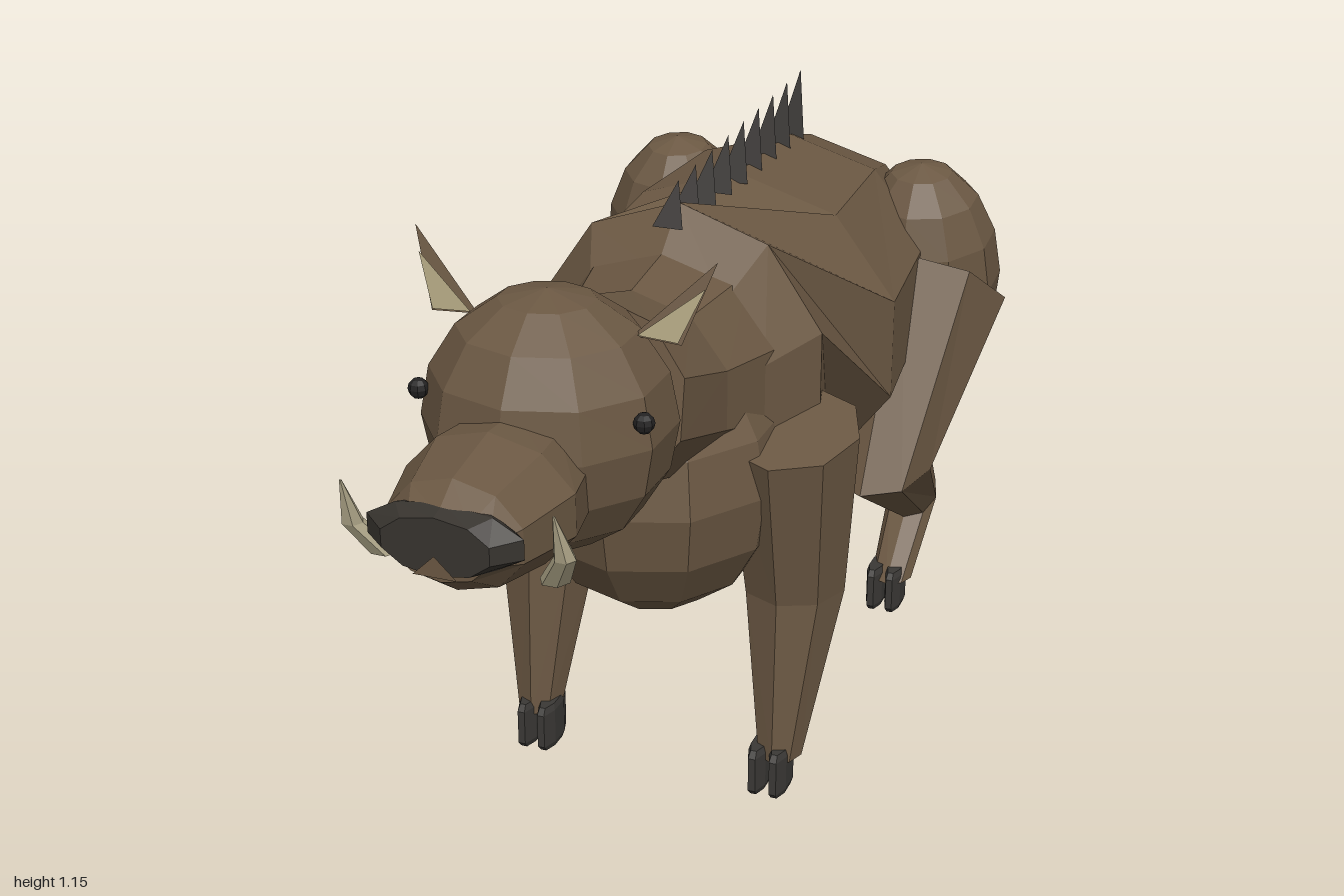
import * as THREE from 'three';

const V = (x, y, z) => new THREE.Vector3(x, y, z);

// Faceted copy of a geometry, optionally mirrored across x = 0
function facet(geo, mirrored = false) {
  const g = geo.index ? geo.toNonIndexed() : geo.clone();
  if (mirrored) {
    const p = g.attributes.position;
    for (let i = 0; i < p.count; i += 3) {
      const [a, b, c] = [0, 1, 2].map(k => V().fromBufferAttribute(p, i + k));
      [a, c, b].forEach((v, k) => p.setXYZ(i + k, -v.x, v.y, v.z));
    }
  }
  g.computeVertexNormals();
  return g;
}

// Ring of n points around c; the loft advances along -(u x v)
function ring(c, u, v, n, phase = 0) {
  return Array.from({ length: n }, (_, i) => {
    const t = phase + i / n * Math.PI * 2;
    return c.clone().addScaledVector(u, Math.sin(t)).addScaledVector(v, Math.cos(t));
  });
}

// Closed skin over a row of rings
function loft(rings) {
  const pos = [], n = rings[0].length;
  const tri = (...pts) => pts.forEach(p => pos.push(p.x, p.y, p.z));
  const mid = r => r.reduce((s, p) => s.add(p), V(0, 0, 0)).divideScalar(n);
  const first = rings[0], last = rings[rings.length - 1];
  for (let i = 0; i < n; i++) {
    const j = (i + 1) % n;
    for (let k = 0; k < rings.length - 1; k++) {
      const a = rings[k], b = rings[k + 1];
      tri(a[i], a[j], b[i]);
      tri(a[j], b[j], b[i]);
    }
    tri(mid(first), first[j], first[i]);
    tri(mid(last), last[i], last[j]);
  }
  const g = new THREE.BufferGeometry();
  g.setAttribute('position', new THREE.Float32BufferAttribute(pos, 3));
  return g;
}

// Front-to-back loft from rows of [z, y, rx, ry, phase, tilt]
const bodyLoft = (rows, n) => loft(rows.map(([z, y, rx, ry, phase = 0, tilt = 0]) =>
  ring(V(0, y, z), V(rx, 0, 0), V(0, ry, tilt), n, phase)));

// Limb loft from rows of [x, y, z, rx, uy, uz]
const limbLoft = rows => loft(rows.map(([x, y, z, rx, uy, uz]) =>
  ring(V(x, y, z), V(0, uy, uz), V(rx, 0, 0), 8)));

// Faceted ellipsoid, leaning forward at the top by lean
function ball(x, y, z, rx, ry, rz, lean = 0, w = 10, h = 8) {
  return new THREE.SphereGeometry(1, w, h).rotateY(Math.PI / w)
    .scale(rx, ry, rz).rotateX(lean).translate(x, y, z);
}

function triangles(...pts) {
  const g = new THREE.BufferGeometry();
  g.setAttribute('position', new THREE.Float32BufferAttribute(pts.flat(), 3));
  return g;
}

export function createModel() {
  const model = new THREE.Group();
  model.name = 'boar';
  const material = (name, color, side = THREE.FrontSide) => {
    const m = new THREE.MeshStandardMaterial({ color, side });
    m.name = name;
    return m;
  };
  const hide = material('brown hide', 0x6b5843);
  const horn = material('dark hoof', 0x3b3936);
  const snoutDark = material('nose grey', 0x38342f);
  const ivory = material('ivory', 0xb3aa8c);
  const earTan = material('inner ear tan', 0xaa9f7c, THREE.DoubleSide);
  const black = material('eye black', 0x232222);
  const bristle = material('bristle', 0x2b2724, THREE.DoubleSide);

  const add = (name, geo, mat) => {
    const m = new THREE.Mesh(facet(geo), mat);
    m.name = name;
    model.add(m);
  };
  const pair = (name, geo, mat) => {
    add(name + 'Left', geo, mat);
    const m = new THREE.Mesh(facet(geo, true), mat);
    m.name = name + 'Right';
    model.add(m);
  };

  // Torso with a twisted waist
  const twist = Math.PI * 0.4;
  add('torso', bodyLoft([
    [0.14, 0.76, 0.21, 0.21],
    [0.03, 0.76, 0.28, 0.30],
    [-0.28, 0.71, 0.325, 0.31, twist],
    [-0.58, 0.735, 0.30, 0.275, twist],
    [-0.72, 0.73, 0.27, 0.24, twist],
    [-0.78, 0.72, 0.20, 0.18, twist],
  ], 10), hide);
  add('chest', ball(0, 0.61, 0.13, 0.24, 0.27, 0.265), hide);
  add('neck', bodyLoft([
    [0.44, 0.86, 0.172, 0.165, 0, -0.03],
    [0.25, 0.80, 0.18, 0.175],
    [0.05, 0.77, 0.235, 0.23],
  ], 10), hide);

  // Head and snout
  add('head', ball(0, 0.885, 0.59, 0.205, 0.215, 0.19), hide);
  add('snout', bodyLoft([
    [0.98, 0.842, 0.082, 0.055],
    [0.93, 0.84, 0.114, 0.09],
    [0.81, 0.84, 0.145, 0.112],
    [0.72, 0.835, 0.125, 0.112],
  ], 10), hide);

  // Nose pad with a notch of hide below
  add('nose', bodyLoft([
    [0.995, 0.85, 0.09, 0.047],
    [0.962, 0.853, 0.131, 0.052],
    [0.935, 0.853, 0.10, 0.046],
  ], 10), snoutDark);
  add('noseNotch', triangles([-0.035, 0.804, 0.999], [0.035, 0.804, 0.999], [0, 0.838, 0.999]), hide);
  pair('eye', ball(0.188, 0.935, 0.665, 0.017, 0.017, 0.017, 0, 8, 6), black);

  // Upturned tusks
  const tuskRing = (x, y, z, r) => ring(V(x, y, z), V(0, 0, r), V(-r, 0, 0), 6);
  pair('tusk', loft([
    tuskRing(0.138, 0.772, 0.89, 0.024),
    tuskRing(0.17, 0.83, 0.925, 0.018),
    tuskRing(0.168, 0.91, 0.955, 0.002),
  ]), ivory);

  // Pointed ears with a pale inner face
  const inner = [0.13, 1.03, 0.565], outer = [0.21, 1.025, 0.565], back = [0.18, 1.02, 0.505], tip = [0.253, 1.15, 0.525];
  pair('ear', triangles(inner, outer, tip, outer, back, tip, back, inner, tip, inner, back, outer), hide);
  pair('innerEar', triangles([0.14, 1.034, 0.571], [0.206, 1.030, 0.571], [0.24, 1.112, 0.543]), earTan);

  // Front legs
  pair('frontLeg', limbLoft([
    [0.243, 0.705, 0.115, 0.122, -0.025, 0.13],
    [0.24, 0.385, 0.075, 0.095, 0, 0.102],
    [0.24, 0.065, 0.14, 0.042, 0, 0.048],
  ]), hide);

  // Hind legs and haunches
  pair('haunch', ball(0.257, 0.725, -0.667, 0.158, 0.242, 0.152, 0.15), hide);
  pair('hindLeg', limbLoft([
    [0.265, 0.70, -0.65, 0.17, 0.12, 0.15],
    [0.258, 0.415, -0.41, 0.102, -0.015, 0.138],
    [0.245, 0.20, -0.725, 0.052, -0.025, 0.067],
    [0.24, 0.065, -0.60, 0.042, 0, 0.045],
  ]), hide);

  // Cloven hooves: two chamfered toes per foot
  for (const [name, z] of [['front', 0.16], ['hind', -0.595]])
    for (const [toe, x] of [['Inner', 0.21], ['Outer', 0.25]]) {
      const rows = [[0.092, 0.8], [0.08, 1], [0.012, 1], [0, 0.8]];
      pair(name + toe + 'Hoof', loft(rows.map(([y, k]) =>
        ring(V(x, y, z), V(0, 0, 0.055 * k), V(0.018 * k, 0, 0), 8, Math.PI / 8))), horn);
    }

  // Drooping tail
  add('tail', bodyLoft([
    [-0.72, 0.805, 0.042, 0.036, 0, -0.03],
    [-0.89, 0.655, 0.042, 0.036, 0, -0.03],
    [-0.985, 0.548, 0.018, 0.02, 0, -0.015],
  ], 6), hide);

  // Flat bristles along the spine
  for (let i = 0; i < 9; i++) {
    const z = 0.085 - i * 0.084, y = 1.03 - i * 0.005;
    add('bristle' + (i + 1), triangles([-0.028, y, z], [0.028, y, z], [0, y + 0.07 + i * 0.008, z - 0.055]), bristle);
  }
  return model;
}
